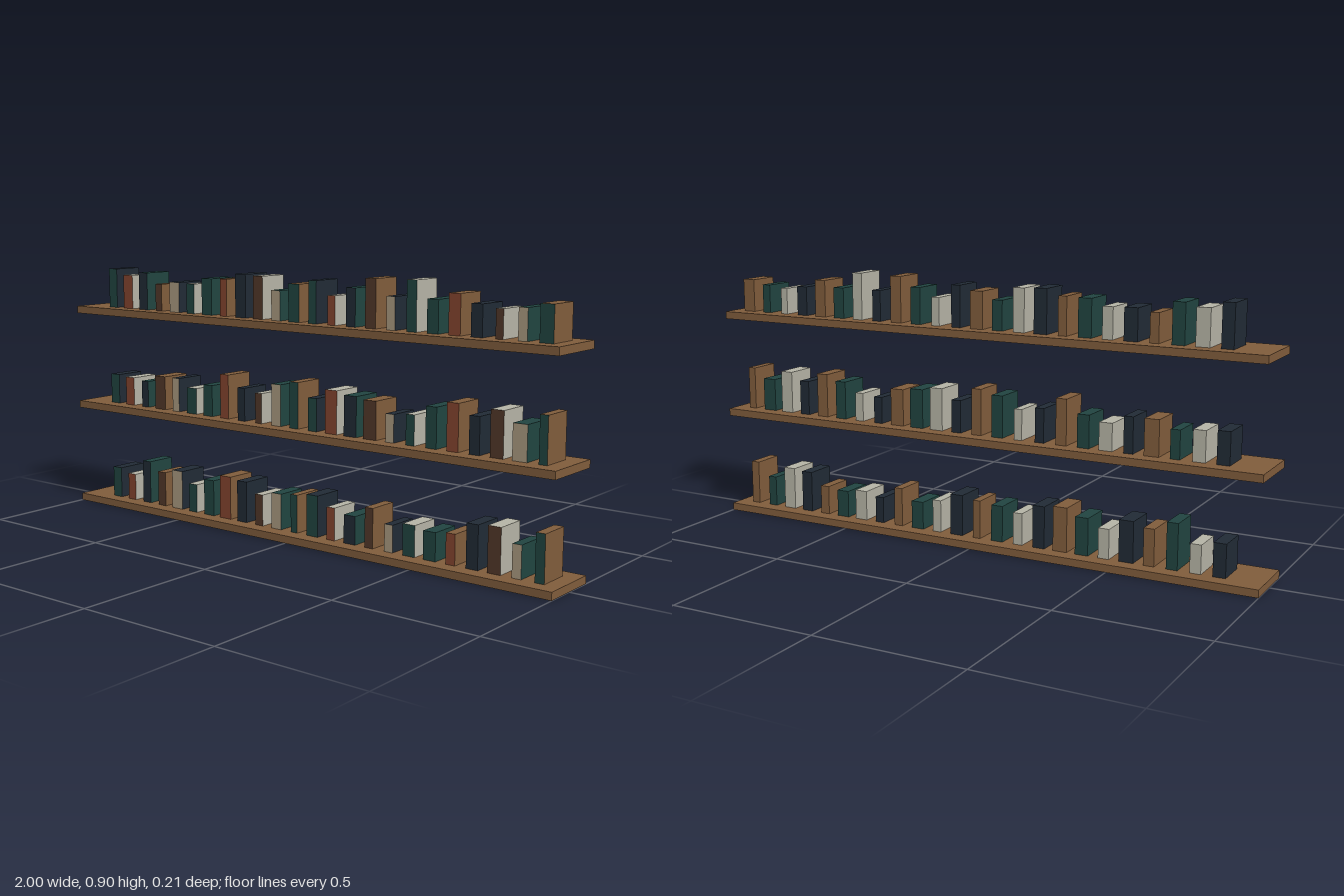
import * as THREE from 'three';

const paint = (name, color) => {
  const m = new THREE.MeshStandardMaterial({ color });
  m.name = name;
  return m;
};

// Per shelf: board height, then book widths and top heights in thousandths
const ROWS = [
  {
    y: 0,
    widths: [42, 37, 38, 37, 50, 38, 46, 50, 43, 34, 42, 28, 46, 32, 46, 32, 32, 46, 46, 34, 42, 46, 32, 32],
    tops: [137, 122, 180, 150, 165, 127, 153, 177, 170, 135, 150, 157, 167, 137, 122, 160, 117, 130, 120, 127, 170, 175, 133, 180],
  },
  {
    y: 0.357,
    widths: [42, 42, 32, 50, 32, 46, 42, 38, 32, 28, 40, 36, 36, 48, 50, 50, 32, 32, 40, 42, 37, 46, 50, 28],
    tops: [490, 485, 478, 503, 503, 475, 493, 537, 498, 487, 525, 540, 494, 528, 517, 510, 475, 482, 515, 535, 503, 530, 497, 532],
  },
  {
    y: 0.713,
    widths: [40, 46, 42, 30, 46, 36, 46, 30, 46, 41, 37, 46, 33, 30, 37, 41, 32, 37, 41, 42, 40, 26, 31, 46],
    tops: [880, 860, 872, 835, 845, 843, 865, 867, 887, 884, 840, 865, 880, 835, 864, 897, 845, 900, 845, 867, 840, 830, 838, 853],
  },
];

export function createModel() {
  const wood = paint('wood', 0x815d3c);
  const navy = paint('navy', 0x212b36);
  const teal = paint('teal', 0x214541);
  const pale = paint('pale cover', 0xb7b5a7);
  const red = paint('red spine', 0x86452f);
  const brown = paint('dark brown spine', 0x53392a);
  const tan = paint('tan spine', 0xac9c82);

  const covers = [navy, pale, teal, wood];
  const spines = [teal, red, navy, brown, tan, teal];
  const thickness = 0.026;

  const model = new THREE.Group();
  model.name = 'bookShelves';

  ROWS.forEach(({ y, widths, tops }, r) => {
    const row = new THREE.Group();
    row.name = `shelfRow${r + 1}`;

    // Shelf board
    const board = new THREE.Mesh(new THREE.BoxGeometry(2, thickness, 0.214), wood);
    board.name = 'shelfBoard';
    board.position.y = y + thickness / 2;
    row.add(board);

    // Evenly spaced books: cover colour all round, spine colour on the front face
    widths.forEach((w, i) => {
      const base = y + thickness;
      const height = tops[i] / 1000 - base;
      const cover = covers[i % covers.length];
      const spine = spines[i % spines.length];
      const book = new THREE.Mesh(
        new THREE.BoxGeometry(w / 1000, height, 0.112),
        [cover, cover, cover, cover, spine, cover]
      );
      book.name = `book${i + 1}`;
      book.position.set(-0.858 + i * 0.0778, base + height / 2, 0);
      row.add(book);
    });
    model.add(row);
  });
  return model;
}
